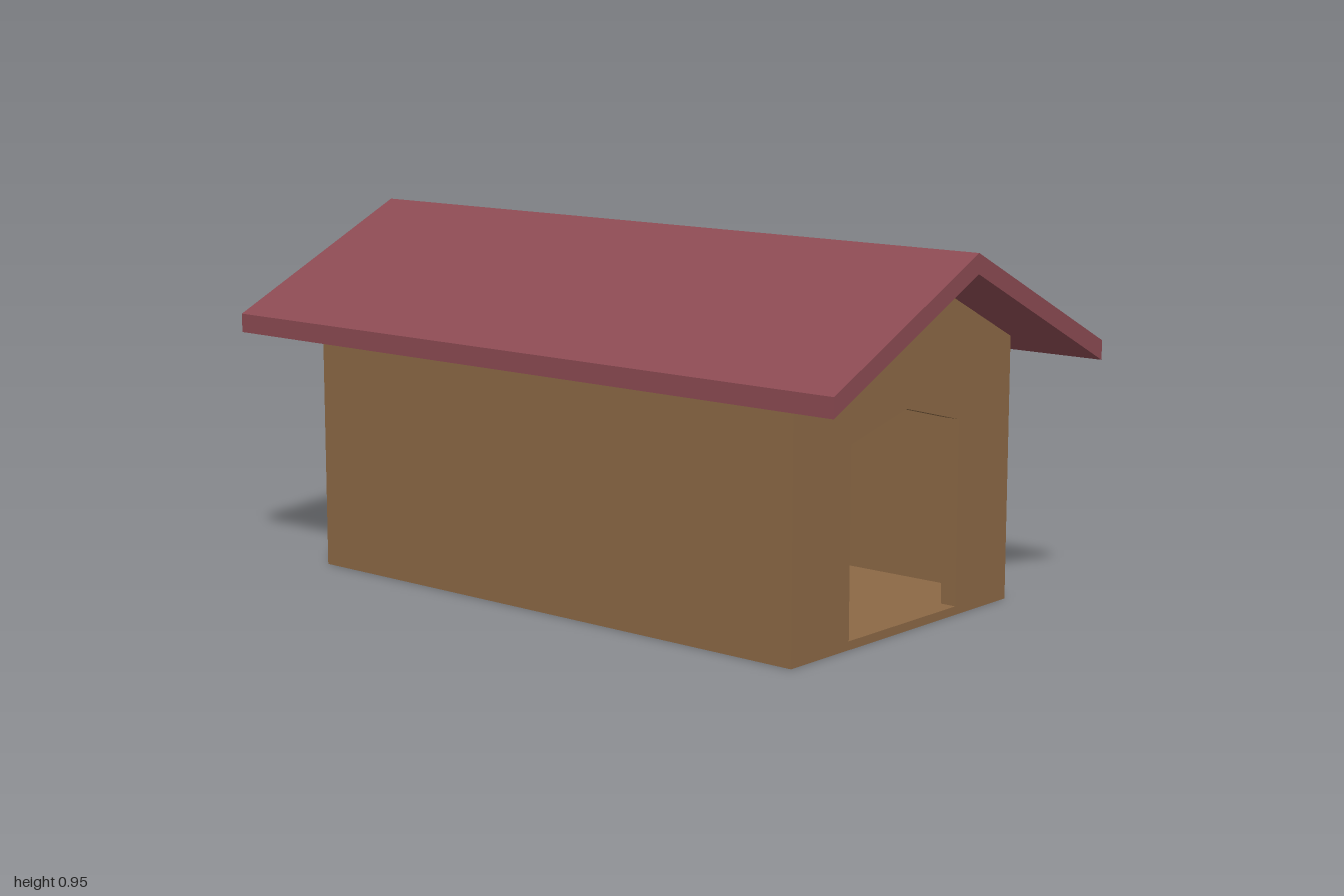
import * as THREE from 'three';

const HALF_L = 0.8, HALF_W = 0.444, WALL = 0.044, FLOOR = 0.022;
const RIDGE = 0.9, SLOPE = 0.486;
const roofY = (z) => RIDGE - SLOPE * Math.abs(z); // underside of the roof

const wood = new THREE.MeshStandardMaterial({ color: 0x8b6845, flatShading: true });
const red = new THREE.MeshStandardMaterial({ color: 0x8b4a52, flatShading: true });

const polygon = (pts) => pts.map(([a, b]) => new THREE.Vector2(a, b));

// Extrudes a cross-section (across, up) along x from x0 to x1
function prism(name, pts, x0, x1, material, hole) {
  const shape = new THREE.Shape(polygon(pts));
  if (hole) shape.holes.push(new THREE.Path(polygon(hole)));
  const geo = new THREE.ExtrudeGeometry(shape, { depth: x1 - x0, bevelEnabled: false });
  geo.rotateY(Math.PI / 2).translate(x0, 0, 0);
  const mesh = new THREE.Mesh(geo, material);
  mesh.name = name;
  return mesh;
}

export function createModel() {
  const house = new THREE.Group();
  house.name = 'kennel';
  const inner = HALF_L - WALL, innerW = HALF_W - WALL;

  // Gable walls, one with the doorway
  const gable = [[-HALF_W, 0], [HALF_W, 0], [HALF_W, roofY(HALF_W)], [0, RIDGE], [-HALF_W, roofY(HALF_W)]];
  const door = [[-0.222, FLOOR], [-0.222, 0.5], [0, 0.556], [0.222, 0.5], [0.222, FLOOR]];
  house.add(prism('doorWall', gable, inner, HALF_L, wood, door));
  house.add(prism('endWall', gable, -HALF_L, -inner, wood));

  // Long side walls with sloped tops
  for (const [s, name] of [[1, 'backWall'], [-1, 'frontWall']]) {
    const section = [[innerW, 0], [HALF_W, 0], [HALF_W, roofY(HALF_W)], [innerW, roofY(innerW)]]
      .map(([a, b]) => [s * a, b]);
    house.add(prism(name, section, -inner, inner, wood));
  }

  // Floor
  house.add(prism('floor', [[-innerW, 0], [innerW, 0], [innerW, FLOOR], [-innerW, FLOOR]], -inner, inner, wood));

  // Overhanging gabled roof
  const e = 0.555, t = 0.05;
  house.add(prism('roof', [[-e, roofY(e)], [0, RIDGE], [e, roofY(e)],
    [e, roofY(e) + t], [0, RIDGE + t], [-e, roofY(e) + t]], -1, 1, red));

  return house;
}
